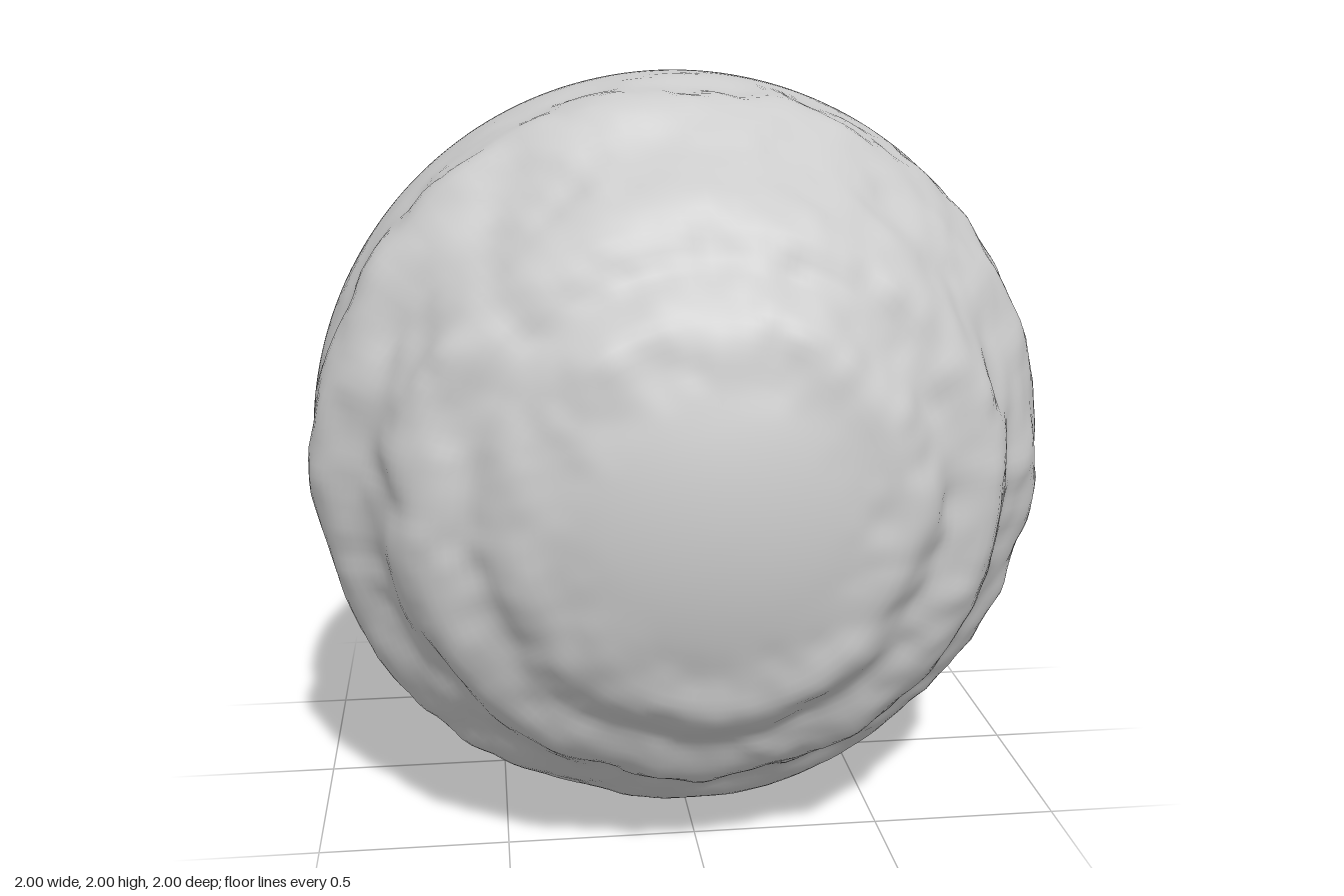
import * as THREE from 'three';
import { mergeVertices } from 'three/addons/utils/BufferGeometryUtils.js';

// Small hashed lattice noise, smooth in 3D, range -1..1
function hash(x, y, z) {
  const s = Math.sin(x * 127.1 + y * 311.7 + z * 74.7) * 43758.5453;
  return (s - Math.floor(s)) * 2 - 1;
}

function noise(x, y, z) {
  const i = Math.floor(x), j = Math.floor(y), k = Math.floor(z);
  const ease = (t) => t * t * (3 - 2 * t);
  const u = ease(x - i), v = ease(y - j), w = ease(z - k);
  const mix = THREE.MathUtils.lerp;
  const row = (b, c) => mix(hash(i, j + b, k + c), hash(i + 1, j + b, k + c), u);
  return mix(mix(row(0, 0), row(1, 0), v), mix(row(0, 1), row(1, 1), v), w);
}

const bump = (t, centre, width) => Math.exp(-(((t - centre) / width) ** 2));

// Height of the weathered relief, by direction from the centre
function relief(p) {
  const polar = Math.acos(THREE.MathUtils.clamp(p.z, -1, 1));
  if (polar > 1.6) return 0;
  const azimuth = Math.atan2(p.y, p.x);
  const side = Math.cos(azimuth); // +1 at +x, -1 at -x
  const t = polar + 0.035 * noise(p.x * 4 + 9, p.y * 4, p.z * 4);

  // Broken concentric ridges with hollows between them
  const inner = (0.02 + 0.012 * side) * bump(t, 0.48, 0.09);
  const middle = (0.012 + 0.024 * side * side) * bump(t, 0.79, 0.085);
  const outer = (0.025 - 0.014 * side) * bump(t, 1.2, 0.1);
  const hollows = -0.016 * bump(t, 0.64, 0.06) - 0.018 * bump(t, 0.99, 0.09);

  // Fine lumps, fading out at the smooth front cap and at the equator
  const lumps = 0.012 * noise(p.x * 8, p.y * 8, p.z * 8)
    + 0.006 * noise(p.x * 16 + 5, p.y * 16, p.z * 16);
  const fade = THREE.MathUtils.smoothstep(polar, 0.25, 0.5)
    * (1 - THREE.MathUtils.smoothstep(polar, 1.25, 1.57));
  return fade * (inner + middle + outer + hollows + lumps);
}

export function createModel() {
  const group = new THREE.Group();
  group.name = 'weatheredSphere';

  // Sphere with its pole turned to the front, so its rows follow the ridges
  let geometry = new THREE.SphereGeometry(1, 192, 128);
  geometry.rotateX(Math.PI / 2);
  geometry.deleteAttribute('uv');
  geometry.deleteAttribute('normal');
  geometry = mergeVertices(geometry, 1e-5);

  const position = geometry.attributes.position;
  const p = new THREE.Vector3();
  for (let i = 0; i < position.count; i++) {
    p.fromBufferAttribute(position, i).normalize();
    p.multiplyScalar(1 + relief(p));
    position.setXYZ(i, p.x, p.y, p.z);
  }
  geometry.computeVertexNormals();

  const ball = new THREE.Mesh(geometry, new THREE.MeshStandardMaterial({ color: 0xcccccc }));
  ball.name = 'ball';
  ball.position.y = 1;
  group.add(ball);
  return group;
}
